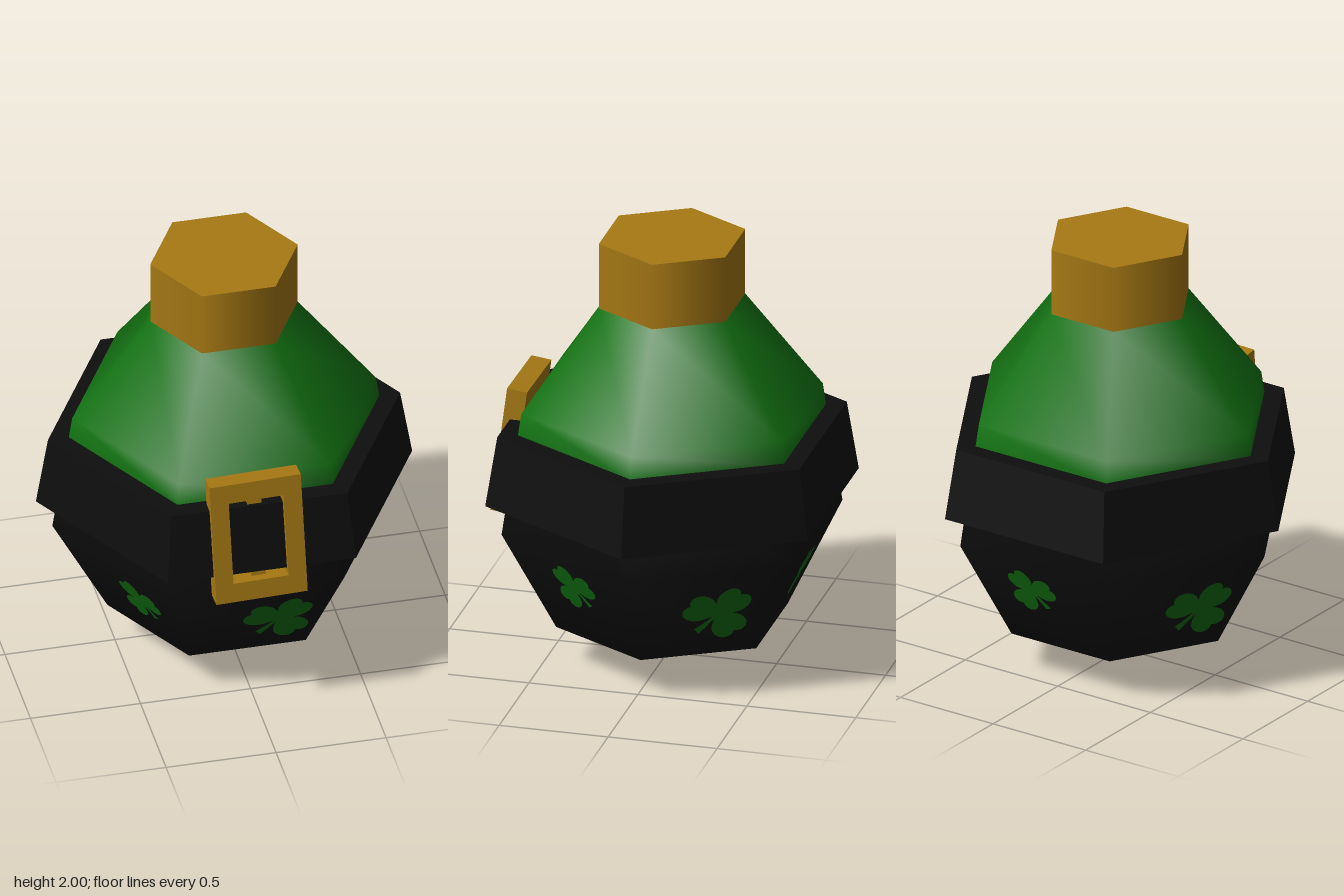
import * as THREE from 'three';

const gold = new THREE.MeshStandardMaterial({ name: 'gold', color: 0xa87a14 });
const green = new THREE.MeshStandardMaterial({ name: 'green', color: 0x127012 });
const black = new THREE.MeshStandardMaterial({ name: 'black', color: 0x0e0e0e });

function add(parent, name, geometry, material, x = 0, y = 0, z = 0) {
  const mesh = new THREE.Mesh(geometry, material);
  mesh.name = name;
  mesh.position.set(x, y, z);
  parent.add(mesh);
  return mesh;
}

// Six-sided turned form with corners on the x axis
function hexLathe(points) {
  return new THREE.LatheGeometry(points.map(([r, y]) => new THREE.Vector2(r, y)), 6, Math.PI / 2);
}

function hexPrism(top, bottom, height) {
  return new THREE.CylinderGeometry(top, bottom, height, 6, 1, false, Math.PI / 2);
}

function rectangle(w, h, Type) {
  const s = new Type();
  s.moveTo(-w / 2, -h / 2);
  s.lineTo(w / 2, -h / 2);
  s.lineTo(w / 2, h / 2);
  s.lineTo(-w / 2, h / 2);
  s.closePath();
  return s;
}

// Three heart-shaped leaves and a flared stem; the stem points along -y, unit radius
function cloverGeometry() {
  const shapes = [0, 1.83, -1.83].map((angle) => {
    const p = (x, y) => [x * Math.cos(angle) - y * Math.sin(angle), x * Math.sin(angle) + y * Math.cos(angle)];
    const s = new THREE.Shape();
    s.moveTo(...p(0, -0.04));
    s.bezierCurveTo(...p(0.2, 0.15), ...p(0.54, 0.35), ...p(0.48, 0.7));
    s.bezierCurveTo(...p(0.44, 1.02), ...p(0.12, 1.08), ...p(0, 0.88));
    s.bezierCurveTo(...p(-0.12, 1.08), ...p(-0.44, 1.02), ...p(-0.48, 0.7));
    s.bezierCurveTo(...p(-0.54, 0.35), ...p(-0.2, 0.15), ...p(0, -0.04));
    return s;
  });
  const stem = new THREE.Shape();
  stem.moveTo(-0.05, 0.05);
  stem.quadraticCurveTo(-0.04, -0.45, -0.12, -0.8);
  stem.lineTo(0.12, -0.86);
  stem.quadraticCurveTo(0.07, -0.4, 0.05, 0.05);
  return new THREE.ShapeGeometry([...shapes, stem], 6);
}

export function createModel() {
  const model = new THREE.Group();
  model.name = 'hexagonalBottle';
  const bottle = new THREE.Group();
  bottle.name = 'bottle';
  bottle.position.z = -0.02;
  model.add(bottle);

  // Body and stopper
  add(bottle, 'lowerBody', hexLathe([[0, 0], [0.53, 0.18], [0.78, 0.65], [0.707, 1.12]]), black);
  add(bottle, 'shoulder', hexLathe([[0.707, 1.11], [0.69, 1.22], [0.335, 1.69]]), green);
  add(bottle, 'stopper', hexPrism(0.335, 0.335, 0.31), gold, 0, 1.845, 0);

  // Belt with flat faces
  const belt = hexPrism(0.8, 0.855, 0.325).toNonIndexed();
  belt.computeVertexNormals();
  add(bottle, 'belt', belt, black, 0, 0.9575, 0);

  // Buckle leaning back against the belt
  const buckle = new THREE.Group();
  buckle.name = 'buckle';
  buckle.position.set(-0.015, 0.963, 0.678);
  buckle.rotation.set(-0.125, 0, 0.025);
  model.add(buckle);
  const frame = rectangle(0.415, 0.59, THREE.Shape);
  frame.holes.push(rectangle(0.25, 0.405, THREE.Path));
  const frameGeometry = new THREE.ExtrudeGeometry(frame, { depth: 0.092, bevelEnabled: false });
  add(buckle, 'buckleFrame', frameGeometry.translate(0, 0, -0.046), gold);
  add(buckle, 'bucklePin', new THREE.BoxGeometry(0.065, 0.44, 0.04), gold, 0, 0, -0.02);

  // Clovers on the six sloping faces: sideways offset and height, large and small in turn
  const clover = cloverGeometry();
  const spots = [[0.12, 0.395], [0, 0.485], [0.06, 0.415], [-0.05, 0.49], [0.12, 0.405], [0.09, 0.445]];
  const slope = Math.atan2(0.25 * 0.866, 0.47);
  spots.forEach(([x, y], i) => {
    const side = new THREE.Group();
    side.name = 'cloverSide' + (i + 1);
    side.rotation.y = (i * Math.PI) / 3;
    bottle.add(side);
    const apothem = (0.53 + (0.25 * (y - 0.18)) / 0.47) * 0.866;
    const large = i % 2 === 0;
    const mesh = add(side, 'clover', clover, green, x, y, apothem + 0.006);
    mesh.rotation.set(slope, 0, large ? -0.7 : 0.65);
    mesh.scale.setScalar(large ? 0.165 : 0.13);
  });

  return model;
}
